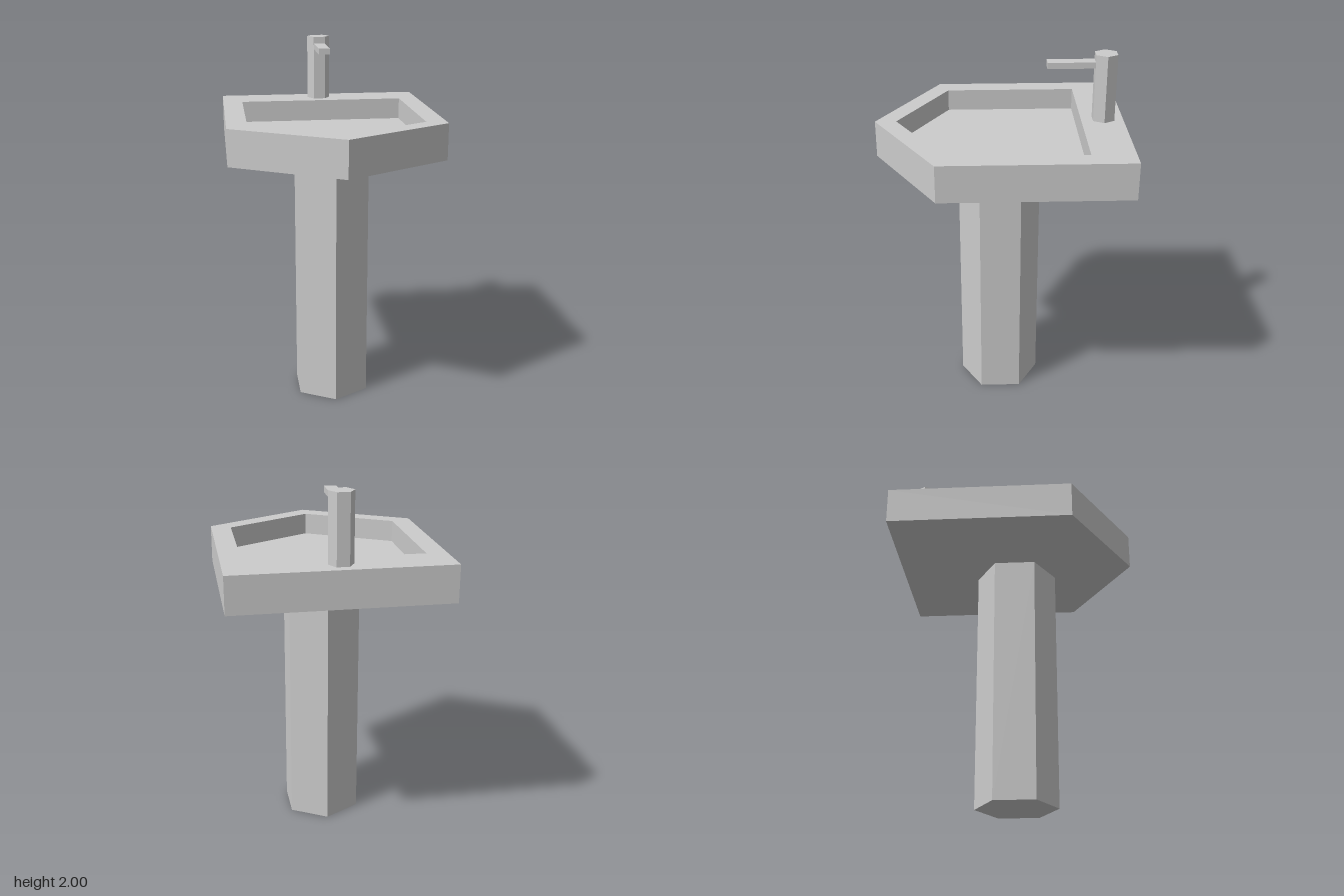
import * as THREE from 'three';
import { ConvexGeometry } from 'three/addons/geometries/ConvexGeometry.js';

const Y = { neck: 1.375, base: 1.435, floor: 1.515, rim: 1.635, top: 2 };

// Five-sided outline with a pointed front; plan z is stored as -y
function outline(halfWidth, back, shoulder, tip) {
  return [[-halfWidth, back], [-halfWidth, shoulder], [0, tip], [halfWidth, shoulder], [halfWidth, back]]
    .map(([x, z]) => new THREE.Vector2(x, -z));
}

// Hexagonal column with crisp faces
function hexColumn(radius, height, turn = 0) {
  const g = new THREE.CylinderGeometry(radius, radius, height, 6).toNonIndexed();
  g.rotateY(turn);
  g.computeVertexNormals();
  return g;
}

export function createModel() {
  const group = new THREE.Group();
  const ceramic = new THREE.MeshStandardMaterial({ color: 0xcccccc });
  ceramic.name = 'light grey';

  function add(name, geometry, x = 0, y = 0, z = 0) {
    const mesh = new THREE.Mesh(geometry, ceramic);
    mesh.name = name;
    mesh.position.set(x, y, z);
    group.add(mesh);
  }

  const outer = outline(0.58, -0.668, 0.333, 0.667);
  const inner = outline(0.47, -0.44, 0.282, 0.553);
  const legRadius = 0.225;

  // Pedestal
  add('pedestal', hexColumn(legRadius, Y.neck), 0, Y.neck / 2);

  // Sloping underside, from the basin outline down to the pedestal
  const hull = outer.map((p) => new THREE.Vector3(p.x, Y.base, -p.y));
  for (let i = 0; i < 6; i++) {
    const a = (i * Math.PI) / 3;
    hull.push(new THREE.Vector3(Math.sin(a) * legRadius, Y.neck, Math.cos(a) * legRadius));
  }
  add('basinUnderside', new ConvexGeometry(hull));

  // Basin walls and rim
  const rimShape = new THREE.Shape(outer);
  rimShape.holes.push(new THREE.Path(inner));
  const rim = new THREE.ExtrudeGeometry(rimShape, { depth: Y.rim - Y.base, bevelEnabled: false });
  rim.rotateX(-Math.PI / 2);
  add('basinRim', rim, 0, Y.base);

  // Bowl floor
  const floor = new THREE.ShapeGeometry(new THREE.Shape(inner));
  floor.rotateX(-Math.PI / 2);
  add('bowlFloor', floor, 0, Y.floor);

  // Tap
  const tapX = -0.004;
  add('tapBody', hexColumn(0.066, Y.top - Y.rim, Math.PI / 6), tapX, (Y.top + Y.rim) / 2, -0.56);
  add('tapSpout', new THREE.BoxGeometry(0.064, 0.033, 0.27), tapX, 1.944, -0.385);

  return group;
}
